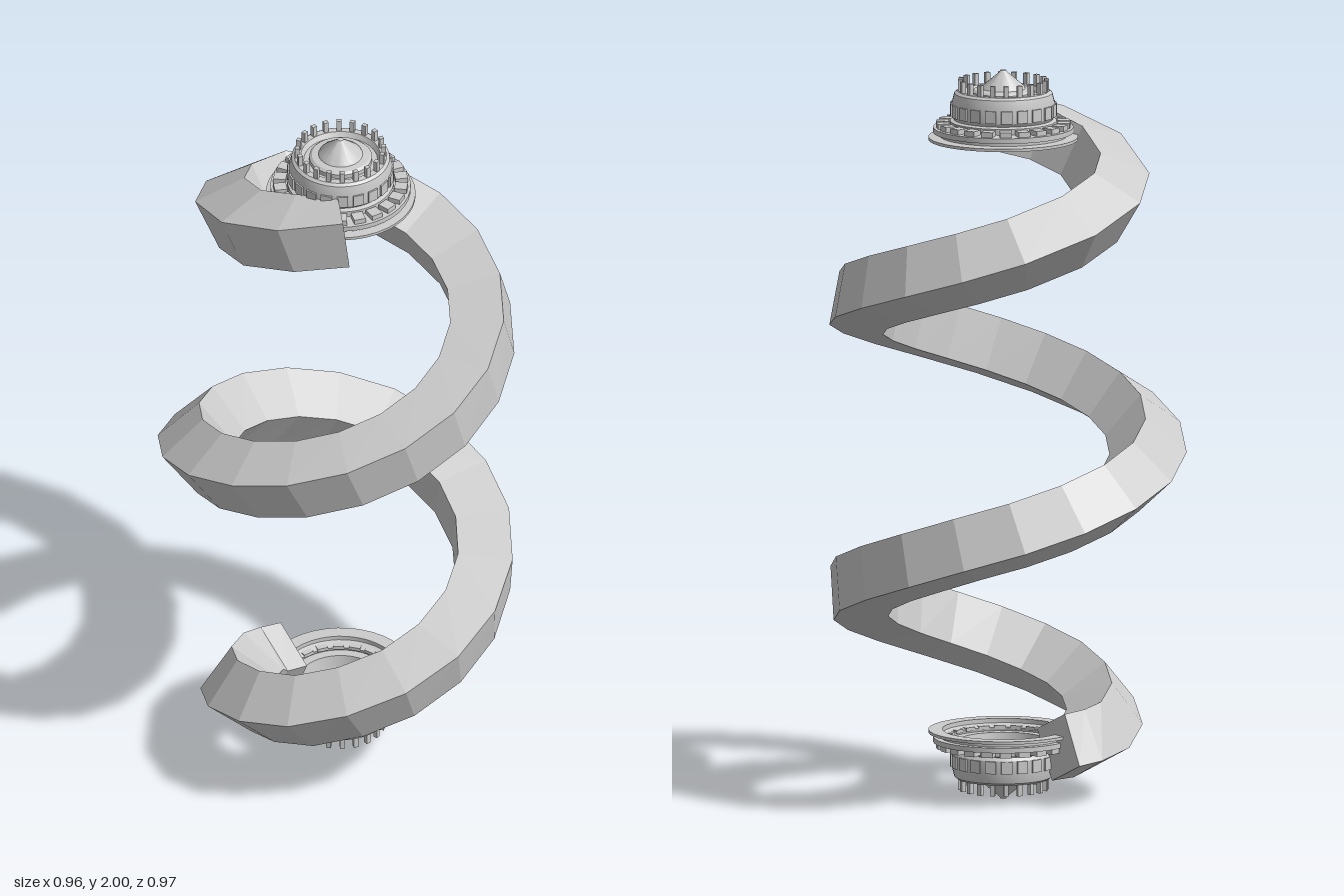
import * as THREE from 'three';
import { toCreasedNormals } from 'three/addons/utils/BufferGeometryUtils.js';

const material = new THREE.MeshStandardMaterial({ color: 0xcccccc, side: THREE.DoubleSide });
const flat = new THREE.MeshStandardMaterial({ color: 0xcccccc, flatShading: true });

// Spiral path keys: angle in degrees from the front, radius, height
const KEYS = [
  [-18, 0.18, 1.83], [22, 0.2, 1.8], [57, 0.25, 1.755], [88, 0.303, 1.695], [110, 0.335, 1.655],
  [135, 0.363, 1.61], [160, 0.38, 1.56], [180, 0.387, 1.52], [270, 0.385, 1.335], [360, 0.39, 1.13],
  [450, 0.393, 0.93], [540, 0.393, 0.75], [630, 0.39, 0.54], [675, 0.383, 0.43], [720, 0.362, 0.325],
  [750, 0.33, 0.265], [780, 0.285, 0.21], [810, 0.23, 0.165], [830, 0.18, 0.157],
];

function pathPoint(deg) {
  const i = Math.max(1, KEYS.findIndex((k) => k[0] >= deg));
  const [a, b] = deg > 830 ? [KEYS.at(-1), KEYS.at(-1)] : [KEYS[i - 1], KEYS[i]];
  const t = a === b ? 0 : THREE.MathUtils.clamp((deg - a[0]) / (b[0] - a[0]), 0, 1);
  const r = THREE.MathUtils.lerp(a[1], b[1], t);
  const p = THREE.MathUtils.degToRad(deg);
  return new THREE.Vector3(-r * Math.sin(p), THREE.MathUtils.lerp(a[2], b[2], t), r * Math.cos(p));
}

// Square bar swept along the spiral, slowly twisting about its path
function spiralGeometry() {
  const angles = [-18, 22, 57, 88, 110, 135];
  for (let d = 160; d <= 800; d += 20) angles.push(d);
  angles.push(815, 830);
  const pos = [], idx = [];
  angles.forEach((deg, i) => {
    const c = pathPoint(deg);
    const T = pathPoint(deg + 3).sub(pathPoint(deg - 3)).normalize();
    const p = THREE.MathUtils.degToRad(deg);
    const N = new THREE.Vector3(-Math.sin(p), 0, Math.cos(p));
    N.addScaledVector(T, -N.dot(T)).normalize();
    const U = new THREE.Vector3().crossVectors(T, N);
    const twist = THREE.MathUtils.degToRad(77.6 - 0.289 * (deg - 180));
    for (let k = 0; k < 4; k++) {
      const a = twist + (k * Math.PI) / 2;
      const v = c.clone().addScaledVector(N, 0.105 * Math.cos(a)).addScaledVector(U, 0.105 * Math.sin(a));
      pos.push(v.x, v.y, v.z);
      if (i === 0) continue;
      const o = (i - 1) * 4, n = (k + 1) % 4;
      idx.push(o + k, o + n, o + 4 + k, o + n, o + 4 + n, o + 4 + k);
    }
  });
  const e = (angles.length - 1) * 4;
  idx.push(0, 2, 1, 0, 3, 2, e, e + 1, e + 2, e, e + 2, e + 3);
  const g = new THREE.BufferGeometry();
  g.setAttribute('position', new THREE.Float32BufferAttribute(pos, 3));
  g.setIndex(idx);
  const out = g.toNonIndexed();
  out.computeVertexNormals();
  return out;
}

function lathe(name, pts) {
  const g = new THREE.LatheGeometry(pts.map(([x, y]) => new THREE.Vector2(x, y)), 40);
  const m = new THREE.Mesh(toCreasedNormals(g, 0.5), material);
  m.name = name;
  return m;
}

// Ring of equal boxes around the y axis
function boxRing(name, count, radius, y, [w, h, d]) {
  const ring = new THREE.Group();
  ring.name = name;
  const g = new THREE.BoxGeometry(w, h, d);
  for (let i = 0; i < count; i++) {
    const a = (i / count) * Math.PI * 2;
    const m = new THREE.Mesh(g, flat);
    m.name = name + 'Block';
    m.position.set(radius * Math.sin(a), y, radius * Math.cos(a));
    m.rotation.y = a;
    ring.add(m);
  }
  return ring;
}

// End fitting: open flange below, ribbed drum, crown of teeth and pointed centre
function endFitting(name) {
  const g = new THREE.Group();
  g.name = name;
  g.add(
    lathe('flange', [
      [0.165, 0], [0.203, 0], [0.203, 0.008], [0.172, 0.01], [0.172, 0.02], [0.19, 0.02],
      [0.19, 0.034], [0.145, 0.036], [0.14, 0.02], [0.165, 0.012], [0.165, 0],
    ]),
    lathe('drum', [
      [0, 0.1], [0.095, 0.1], [0.11, 0.085], [0.118, 0.03], [0.145, 0.03], [0.145, 0.052], [0.134, 0.056],
      [0.14, 0.065], [0.14, 0.1], [0.133, 0.128], [0.125, 0.134], [0.108, 0.134], [0.1, 0.12], [0.085, 0.12],
    ]),
    lathe('point', [
      [0.085, 0.12], [0.085, 0.132], [0.078, 0.138], [0.06, 0.14], [0.056, 0.147],
      [0.012, 0.184], [0.008, 0.19], [0, 0.19],
    ]),
    boxRing('flangeBlocks', 22, 0.165, 0.042, [0.032, 0.014, 0.034]),
    boxRing('drumRibs', 20, 0.137, 0.083, [0.03, 0.034, 0.014]),
    boxRing('crownTeeth', 20, 0.117, 0.148, [0.013, 0.034, 0.012]),
    boxRing('innerBlocks', 20, 0.15, 0.02, [0.03, 0.01, 0.024]),
  );
  return g;
}

export function createModel() {
  const model = new THREE.Group();
  model.name = 'spiralStructure';

  const spiral = new THREE.Mesh(spiralGeometry(), flat);
  spiral.name = 'spiralBar';
  model.add(spiral);

  // Matching fittings at the top and, turned over, at the bottom
  const top = endFitting('topFitting');
  top.position.y = 1.81;
  const bottom = endFitting('bottomFitting');
  bottom.rotation.x = Math.PI;
  bottom.position.y = 0.19;
  model.add(top, bottom);
  return model;
}
